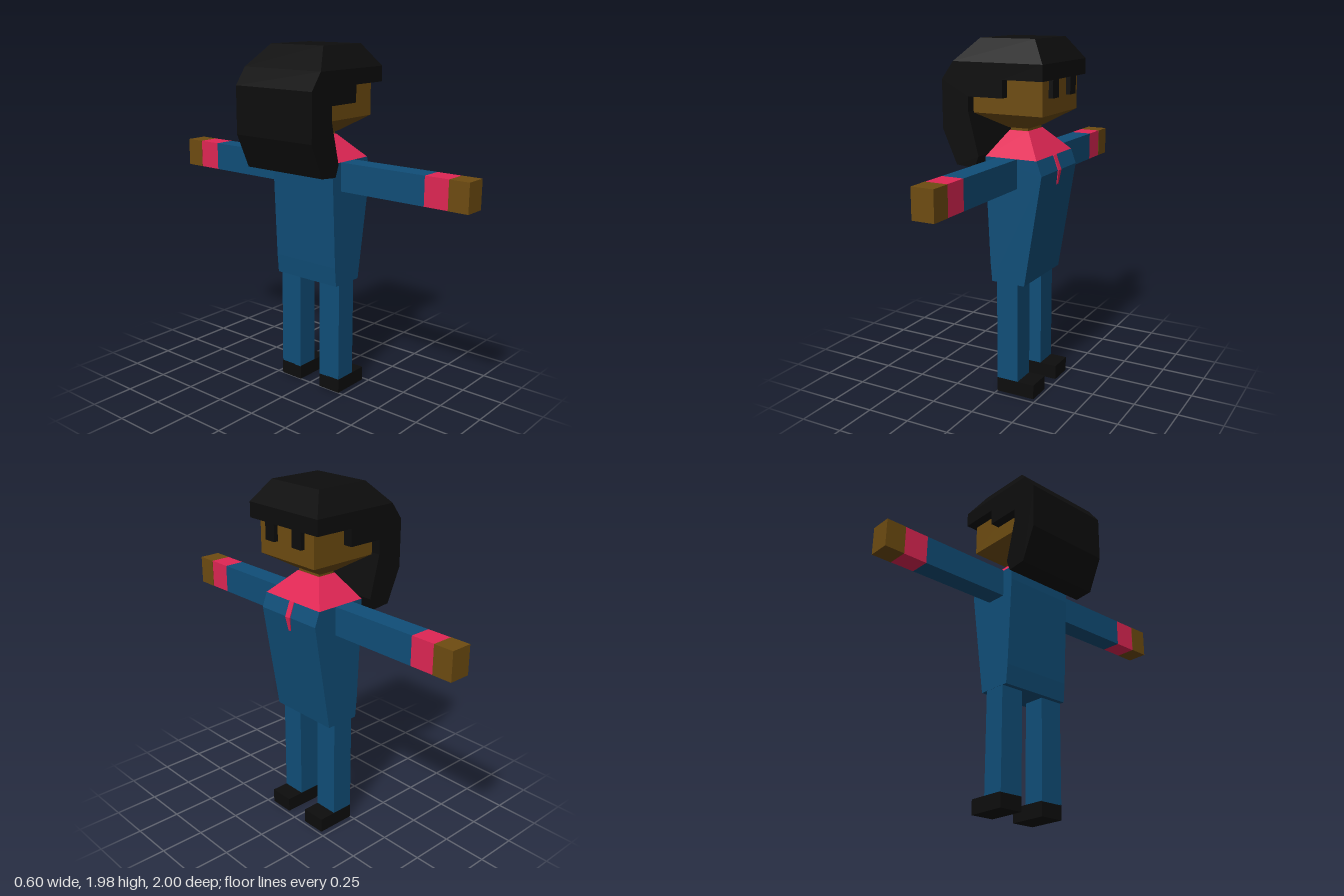
import * as THREE from 'three';

const mat = (name, color) => {
  const m = new THREE.MeshStandardMaterial({ color });
  m.name = name;
  return m;
};

export function createModel() {
  const suit = mat('suit blue', 0x104e78);
  const red = mat('scarf red', 0xe02654);
  const skin = mat('skin brown', 0x6e4c11);
  const black = mat('black', 0x0d0d0d);
  const model = new THREE.Group();
  model.name = 'figure';

  const add = (name, geometry, material, parent = model) => {
    const mesh = new THREE.Mesh(geometry, material);
    mesh.name = name;
    parent.add(mesh);
    return mesh;
  };

  // Box given by its limits
  const block = (x0, x1, y0, y1, z0, z1) =>
    new THREE.BoxGeometry(x1 - x0, y1 - y0, z1 - z0)
      .translate((x0 + x1) / 2, (y0 + y1) / 2, (z0 + z1) / 2);

  // Tapered block: each end is [y, xMin, xMax, half depth]
  const taper = (bottom, top) => {
    const g = new THREE.BoxGeometry(1, 1, 1);
    const p = g.attributes.position;
    for (let i = 0; i < p.count; i++) {
      const [y, x0, x1, z] = p.getY(i) > 0 ? top : bottom;
      p.setXYZ(i, p.getX(i) > 0 ? x1 : x0, y, p.getZ(i) > 0 ? z : -z);
    }
    g.computeVertexNormals();
    return g;
  };

  // Side outline extruded evenly across z
  const slab = (points, halfDepth) => {
    const shape = new THREE.Shape(points.map(([x, y]) => new THREE.Vector2(x, y)));
    return new THREE.ExtrudeGeometry(shape, { depth: halfDepth * 2, bevelEnabled: false })
      .translate(0, 0, -halfDepth);
  };

  // Jacket body
  add('torso', slab([
    [-0.03, 0.66], [0.17, 0.66], [0.27, 1.28], [0.24, 1.36],
    [-0.065, 1.36], [-0.065, 1.28], [-0.04, 0.77],
  ], 0.215), suit);

  // Scarf, with a narrow tail bending over the chest
  add('scarf', taper([1.36, -0.065, 0.24, 0.215], [1.49, 0.01, 0.125, 0.085]), red);
  add('scarfTailUpper', taper([1.28, 0.265, 0.275, 0.018], [1.36, 0.235, 0.244, 0.018]), red);
  add('scarfTailLower', taper([1.2, 0.252, 0.262, 0.008], [1.28, 0.265, 0.275, 0.018]), red);

  // Head
  add('neck', block(0.015, 0.12, 1.46, 1.52, -0.08, 0.08), skin);
  add('jaw', taper([1.505, 0.01, 0.125, 0.09], [1.59, -0.14, 0.27, 0.21]), skin);
  add('head', block(-0.14, 0.27, 1.59, 1.82, -0.21, 0.21), skin);

  // Hair: side outline below, bevelled crown above
  add('hair', slab([
    [0.295, 1.86], [-0.23, 1.86], [-0.3, 1.765], [-0.3, 1.5], [-0.215, 1.31],
    [-0.105, 1.3], [-0.08, 1.365], [-0.14, 1.6], [-0.14, 1.68],
    [0.065, 1.68], [0.065, 1.775], [0.295, 1.775],
  ], 0.265), black);
  add('hairCrown', taper([1.86, -0.23, 0.295, 0.265], [1.98, -0.11, 0.21, 0.182]), black);

  // Paired parts
  for (const [side, s] of [['left', -1], ['right', 1]]) {
    const pair = (name, x0, x1, y0, y1, z0, z1, material) =>
      add(side + name, block(x0, x1, y0, y1, Math.min(s * z0, s * z1), Math.max(s * z0, s * z1)), material);
    pair('Eye', 0.265, 0.295, 1.68, 1.775, 0.07, 0.14, black);
    pair('Sleeve', 0.005, 0.125, 1.2, 1.36, 0.2, 0.745, suit);
    pair('Cuff', 0.005, 0.125, 1.2, 1.36, 0.745, 0.885, red);
    pair('Hand', 0.003, 0.127, 1.2, 1.36, 0.885, 1, skin);
    pair('Leg', 0, 0.13, 0.08, 0.67, 0.073, 0.214, suit);
    pair('Shoe', 0, 0.23, 0, 0.083, 0.072, 0.215, black);
  }
  return model;
}
